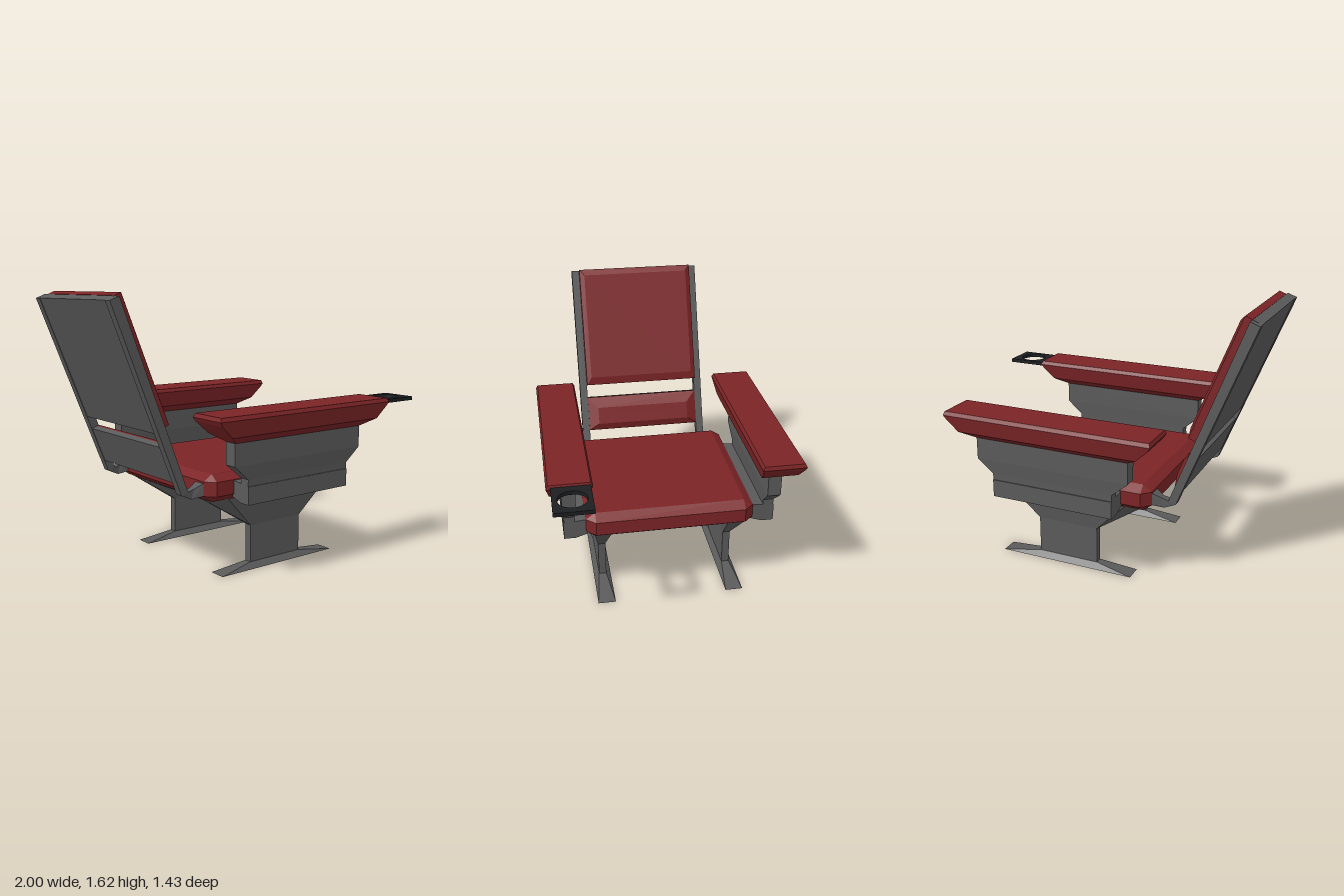
import * as THREE from 'three';
import { ConvexGeometry } from 'three/addons/geometries/ConvexGeometry.js';

const red = new THREE.MeshStandardMaterial({ color: 0x7c2426, flatShading: true });
const metal = new THREE.MeshStandardMaterial({ color: 0x5a5a5a, flatShading: true });
const black = new THREE.MeshStandardMaterial({ color: 0x1c1e20, flatShading: true });

// Eight corners of a box; flat rings use equal bounds on one axis
const box = (x0, x1, y0, y1, z0, z1) =>
  [x0, x1].flatMap(x => [y0, y1].flatMap(y => [z0, z1].map(z => new THREE.Vector3(x, y, z))));
const ring = (y, x0, x1, z0, z1) => box(x0, x1, y, y, z0, z1);

// Faceted solid wrapped around groups of points
function hull(name, material, ...groups) {
  const seen = new Map();
  groups.flat().forEach(p => seen.set(p.toArray().map(v => v.toFixed(4)).join(), p));
  const mesh = new THREE.Mesh(new ConvexGeometry([...seen.values()]), material);
  mesh.name = name;
  return mesh;
}

// Extrudes an outline drawn in x and y, centred on z = 0
function prism(name, material, outline, depth) {
  const shape = new THREE.Shape(outline.map(p => new THREE.Vector2(...p)));
  const geo = new THREE.ExtrudeGeometry(shape, { depth, bevelEnabled: false });
  const mesh = new THREE.Mesh(geo.translate(0, 0, -depth / 2), material);
  mesh.name = name;
  return mesh;
}

// Everything that exists on both sides; s is +1 or -1
function buildSide(s) {
  const side = new THREE.Group();
  side.name = s > 0 ? 'rightSide' : 'leftSide';
  const r = (y, x0, x1, z0, z1) => ring(y, x0, x1, s * z0, s * z1);

  // Foot and leg
  side.add(hull('foot', metal, r(0, -0.31, 0.55, 0.34, 0.445), r(0.035, -0.08, 0.305, 0.37, 0.415)));
  side.add(hull('leg', metal, r(0.035, -0.08, 0.305, 0.37, 0.415), r(0.26, -0.08, 0.305, 0.37, 0.415)));
  side.add(hull('legFlare', metal, r(0.26, -0.08, 0.305, 0.37, 0.415), r(0.455, -0.27, 0.495, 0.35, 0.445),
    r(0.40, -0.27, -0.27, 0.35, 0.36), r(0.455, -0.39, -0.39, 0.35, 0.36)));

  // Bracket joining the seat to the arm
  const profile = [[0.625, 0.455], [0.555, 0.455], [0.485, 0.478], [0.485, 0.575], [0.56, 0.56], [0.625, 0.56]];
  side.add(hull('armBracket', metal, profile.flatMap(([z, y]) => ring(y, -0.27, 0.495, s * z, s * z))));

  // Arm panel, widening upward
  const rings = [r(0.55, -0.27, 0.495, 0.56, 0.62), r(0.6, -0.27, 0.495, 0.558, 0.622),
    r(0.685, -0.37, 0.59, 0.552, 0.63), r(0.82, -0.37, 0.59, 0.552, 0.63)];
  for (let i = 0; i < 3; i++) side.add(hull('armPanel', metal, rings[i], rings[i + 1]));

  // Padded armrest
  side.add(hull('armrest', red, r(0.815, -0.37, 0.59, 0.55, 0.632), r(0.86, -0.44, 0.67, 0.485, 0.697),
    r(0.93, -0.515, 0.74, 0.472, 0.708), r(0.955, -0.53, 0.757, 0.464, 0.714), r(0.977, -0.52, 0.75, 0.475, 0.703)));

  // Back rail: [rear x, rear y, front x, front y, inner z, outer z]
  const stations = [
    [-1, 1.58, -0.944, 1.602, 0.37, 0.418],
    [-0.575, 0.515, -0.53, 0.53, 0.37, 0.418],
    [-0.505, 0.483, -0.49, 0.54, 0.375, 0.415],
    [-0.42, 0.5, -0.42, 0.578, 0.355, 0.445],
  ].map(([x0, y0, x1, y1, z0, z1]) =>
    [z0, z1].flatMap(z => [new THREE.Vector3(x0, y0, s * z), new THREE.Vector3(x1, y1, s * z)]));
  for (let i = 0; i < 3; i++) side.add(hull('backRail', metal, stations[i], stations[i + 1]));
  return side;
}

// Leaning back: local y runs along the rails, local x points to the sitter
function buildBack() {
  const back = new THREE.Group();
  back.name = 'backrest';
  back.position.set(-1, 1.58, 0);
  back.rotation.z = 0.38;
  back.add(hull('backPanel', metal, box(0.003, 0.06, -0.767, 0, -0.37, 0.37)));
  back.add(hull('backCushion', red, box(0.06, 0.103, -0.765, 0.002, -0.37, 0.37),
    box(0.12, 0.12, -0.715, -0.037, -0.34, 0.34)));
  back.add(hull('lumbarPanel', metal, box(0.003, 0.04, -1.075, -0.85, -0.37, 0.37)));
  back.add(hull('lumbarCushion', red, box(0.04, 0.055, -1.075, -0.852, -0.37, 0.37),
    box(0.084, 0.084, -1.034, -0.925, -0.305, 0.305)));
  return back;
}

function buildSeat() {
  const seat = new THREE.Group();
  seat.name = 'seat';
  // Cushion with bevelled rims and clipped corners
  const belt = y => [...ring(y, -0.44, 0.55, -0.44, 0.44), ...ring(y, -0.39, 0.5, -0.495, 0.495)];
  seat.add(hull('seatCushion', red, ring(0.455, -0.385, 0.495, -0.44, 0.44), belt(0.495), belt(0.578),
    ring(0.615, -0.385, 0.495, -0.44, 0.44)));
  // Shallow pan under the cushion
  seat.add(prism('seatPan', metal, [[-0.39, 0.456], [-0.27, 0.4], [0.485, 0.45], [0.485, 0.456]], 0.72));
  return seat;
}

// Flat tray with a round opening
function buildCupHolder() {
  const shape = new THREE.Shape();
  shape.moveTo(0.74, -0.69).lineTo(1, -0.69).lineTo(1, -0.475).lineTo(0.74, -0.475).closePath();
  const hole = new THREE.Path();
  hole.absarc(0.88, -0.582, 0.08, 0, Math.PI * 2, true);
  shape.holes.push(hole);
  const geo = new THREE.ExtrudeGeometry(shape, { depth: 0.022, bevelEnabled: false, curveSegments: 16 });
  geo.rotateX(-Math.PI / 2).translate(0, 0.943, 0);
  const mesh = new THREE.Mesh(geo, black);
  mesh.name = 'cupHolder';
  return mesh;
}

export function createModel() {
  const chair = new THREE.Group();
  chair.name = 'chair';
  chair.add(buildSide(1), buildSide(-1), buildBack(), buildSeat(), buildCupHolder());
  return chair;
}
